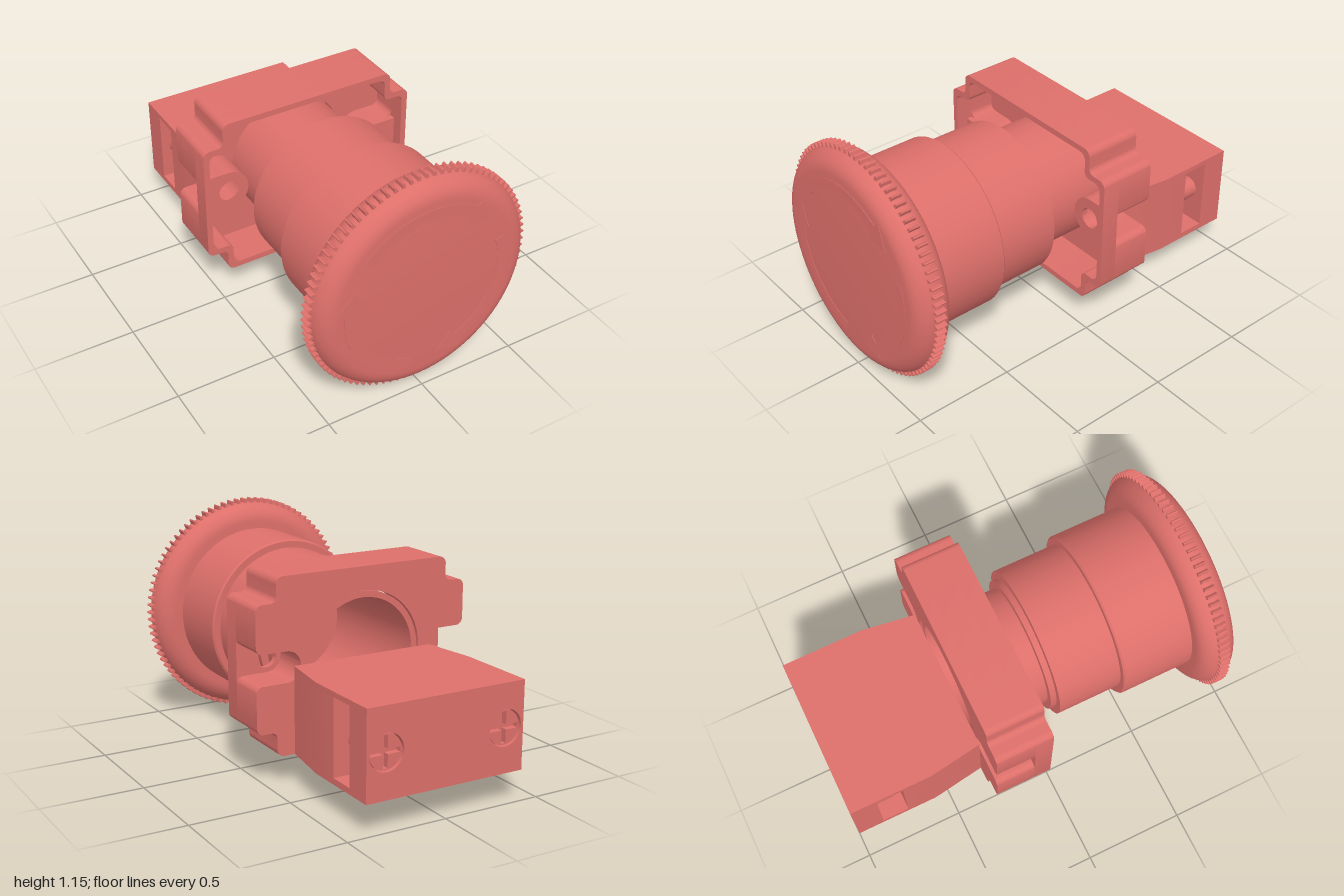
import * as THREE from 'three';
import { toCreasedNormals } from 'three/addons/utils/BufferGeometryUtils.js';

const material = new THREE.MeshStandardMaterial({ color: 0xdd6f6a });
const V = (x, y) => new THREE.Vector2(x, y);

function add(parent, name, geometry) {
  const mesh = new THREE.Mesh(toCreasedNormals(geometry, 0.5), material);
  mesh.name = name;
  parent.add(mesh);
  return mesh;
}

// Extrudes a shape along z between two depths
function slab(shape, z0, z1) {
  return new THREE.ExtrudeGeometry(shape, { depth: z1 - z0, bevelEnabled: false, curveSegments: 24 }).translate(0, 0, z0);
}

// Revolves [radius, z] points around the z axis
function turned(points) {
  return new THREE.LatheGeometry(points.map(([r, z]) => V(r, z)), 72).rotateX(Math.PI / 2);
}

// Closed path through [x, y, radius] corners, each rounded by its radius
function rounded(corners, Type = THREE.Shape) {
  const path = new Type();
  corners.forEach(([x, y, r = 0], i) => {
    const n = corners.length, p = V(x, y);
    const a = V(...corners[(i + n - 1) % n]).sub(p).setLength(r).add(p);
    const b = V(...corners[(i + 1) % n]).sub(p).setLength(r).add(p);
    if (i === 0) path.moveTo(a.x, a.y); else path.lineTo(a.x, a.y);
    if (r > 0) {
      const c = a.clone().lerp(p, 0.552), d = b.clone().lerp(p, 0.552);
      path.bezierCurveTo(c.x, c.y, d.x, d.y, b.x, b.y);
    }
  });
  path.closePath();
  return path;
}

// Completes a right-hand half outline with its mirror image
const mirrored = (half) => [...half, ...half.map(([x, y, r]) => [-x, y, r]).reverse()];

function circle(x, y, r) {
  return new THREE.Path().absarc(x, y, r, 0, Math.PI * 2, true);
}

// Cross-shaped housing outline, inset by t, optionally with screw notches in its sides
function housingOutline(t, notched, Type) {
  const ear = 0.565 - t, col = 0.46 - t, h = 0.425 - t, e = 0.305 - t, n = 0.075 + t;
  const notch = [[ear, -n, 0.035], [0.335 - t, -n, n - 0.001], [0.335 - t, n, n - 0.001], [ear, n, 0.035]];
  return rounded(mirrored([
    [col, -h, 0.035], [col, -e, 0.03], [ear, -e, 0.035],
    ...(notched ? notch : []),
    [ear, e, 0.035], [col, e, 0.03], [col, h, 0.035],
  ]), Type);
}

function buildButton() {
  const button = new THREE.Group();
  button.name = 'button';

  // Mushroom head with rounded rim
  const profile = [[0, 0.808]];
  for (let i = 0; i <= 20; i++) {
    const a = -Math.PI / 2 + (i / 20) * Math.PI;
    profile.push([0.459 + 0.095 * Math.cos(a), 0.903 + 0.095 * Math.sin(a)]);
  }
  profile.push([0, 0.998]);
  add(button, 'buttonHead', turned(profile));

  // Knurled grip ring
  const teeth = 90, steps = 8, ring = [];
  for (let i = 0; i < teeth * steps; i++) {
    const wave = Math.max(0, Math.sin((i / steps) * Math.PI * 2));
    const r = 0.548 + 0.026 * Math.sqrt(wave), a = (i / (teeth * steps)) * Math.PI * 2;
    ring.push(V(r * Math.cos(a), r * Math.sin(a)));
  }
  add(button, 'gripRing', slab(new THREE.Shape(ring), 0.878, 0.932));

  // Three clockwise turn arrows
  const polar = (r, deg) => V(r * Math.cos(deg * Math.PI / 180), r * Math.sin(deg * Math.PI / 180));
  const arrow = [];
  for (let i = 0; i <= 16; i++) arrow.push(polar(0.43, 140 - i * 83 / 16));
  arrow.push(polar(0.466, 55), polar(0.403, 39.7), polar(0.337, 55));
  for (let i = 0; i <= 16; i++) arrow.push(polar(0.376, 57 + i * 83 / 16));
  for (let k = 0; k < 3; k++) {
    add(button, 'turnArrow', slab(new THREE.Shape(arrow), 0.99, 1)).rotation.z = -k * Math.PI * 2 / 3;
  }
  return button;
}

function buildHousing() {
  const housing = new THREE.Group();
  housing.name = 'mountingHousing';

  // Back plate with the central bore
  const plate = housingOutline(0, true);
  plate.holes.push(circle(0, 0, 0.31));
  add(housing, 'backPlate', slab(plate, -0.31, -0.24));

  // Walls wrapping the side notches, then the plain front rim
  for (const [name, notched, z0, z1] of [['sideWall', true, -0.24, -0.11], ['frontRim', false, -0.11, -0.02]]) {
    const wall = housingOutline(0, notched);
    wall.holes.push(housingOutline(0.03, notched, THREE.Path));
    add(housing, name, slab(wall, z0, z1));
  }

  // Screw bosses closing the notches toward the front
  for (const s of [-1, 1]) {
    const boss = rounded([[s * 0.305, -0.105, 0.104], [s * 0.55, -0.105], [s * 0.55, 0.105], [s * 0.305, 0.105, 0.104]]);
    boss.holes.push(circle(s * 0.41, 0, 0.052));
    add(housing, 'screwBoss', slab(boss, -0.11, -0.08));
  }
  return housing;
}

function buildTerminalBlock() {
  const block = new THREE.Group();
  block.name = 'terminalBlock';

  // Tapered body in layers along y, with wire windows in the middle one
  const layer = (windows) => rounded(mirrored([
    [0.37, 0.31], [0.41, 0.58],
    ...(windows ? [[0.41, 0.73], [0.2, 0.73], [0.2, 0.865], [0.41, 0.865]] : []),
    [0.41, 0.96],
  ]));
  for (const [name, windows, y0, y1] of [
    ['blockBase', false, -0.425, -0.395], ['blockMiddle', true, -0.395, -0.025], ['blockTop', false, -0.025, 0],
  ]) add(block, name, slab(layer(windows), y0, y1).rotateX(-Math.PI / 2));

  // Rear face with screw openings
  const rear = rounded([[-0.41, -0.425], [0.41, -0.425], [0.41, 0], [-0.41, 0]]);
  const y = -0.21;
  for (const s of [-1, 1]) rear.holes.push(circle(s * 0.31, y, 0.088));
  add(block, 'rearFace', slab(rear, -1, -0.96));

  // Cross-slotted terminal screws and their shafts
  const w = 0.012, l = 0.075;
  const cross = [[w, w], [l, w], [l, -w], [w, -w], [w, -l], [-w, -l], [-w, -w], [-l, -w], [-l, w], [-w, w], [-w, l], [w, l]];
  for (const s of [-1, 1]) {
    const head = new THREE.Shape().absarc(0, 0, 0.082, 0, Math.PI * 2, false);
    head.holes.push(rounded(cross, THREE.Path));
    add(block, 'screwHead', slab(head, -0.99, -0.955)).position.set(s * 0.31, y, 0);
    const shaft = new THREE.CylinderGeometry(0.055, 0.055, 0.09, 32).rotateX(Math.PI / 2);
    add(block, 'screwShaft', shaft).position.set(s * 0.31, y, -0.825);
  }
  return block;
}

export function createModel() {
  const model = new THREE.Group();
  const assembly = new THREE.Group();
  assembly.name = 'pushButtonSwitch';
  assembly.position.y = 0.575;
  model.add(assembly);

  // Stepped barrel, hollow from the back
  add(assembly, 'barrel', turned([
    [0, 0.4], [0.275, 0.4], [0.275, -0.3], [0.305, -0.3], [0.305, 0.085], [0.343, 0.085], [0.343, 0.115],
    [0.382, 0.115], [0.382, 0.44], [0.415, 0.44], [0.423, 0.448], [0.423, 0.82],
  ]));
  assembly.add(buildButton(), buildHousing(), buildTerminalBlock());
  return model;
}
